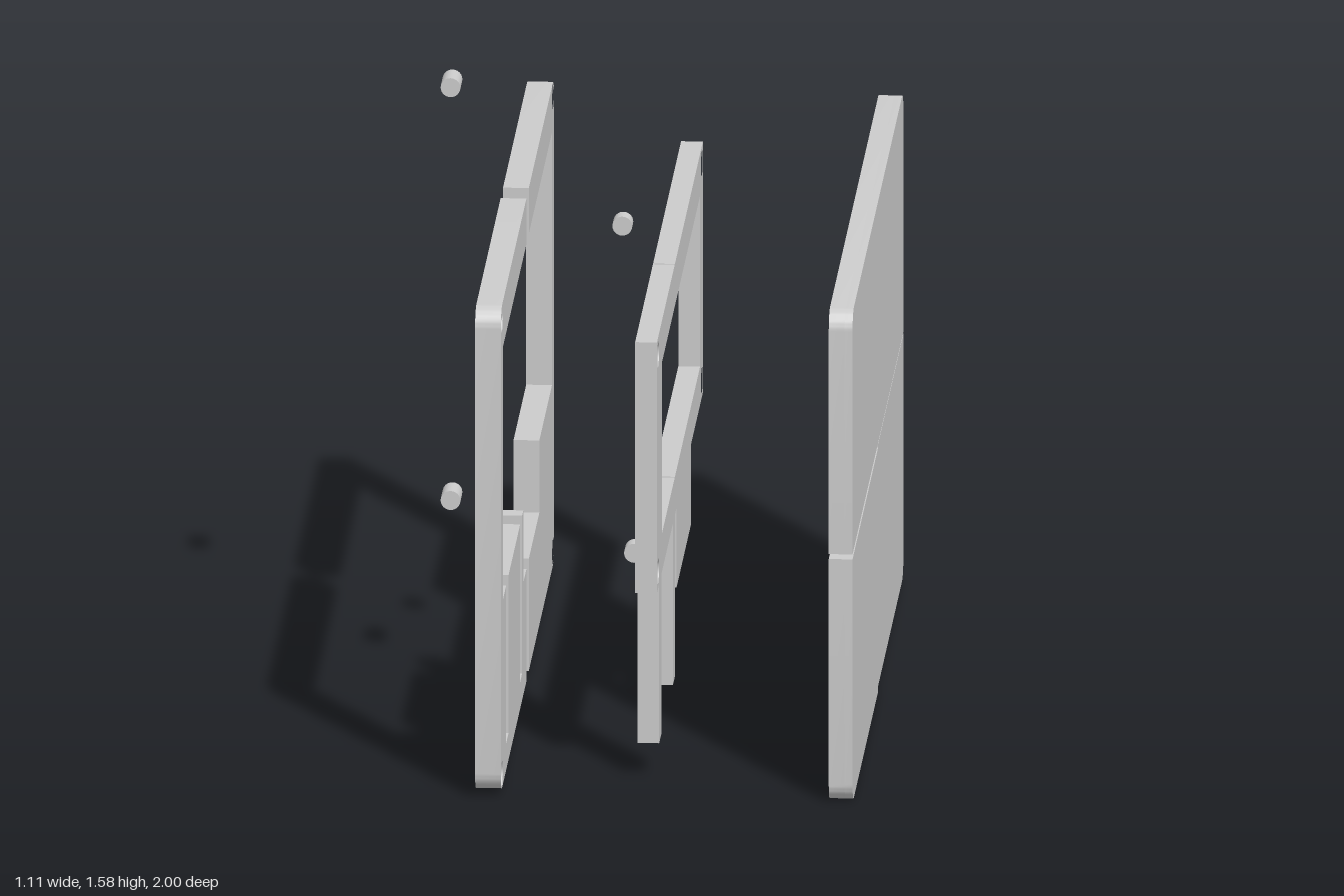
import * as THREE from 'three';
import { toCreasedNormals } from 'three/addons/utils/BufferGeometryUtils.js';

const material = new THREE.MeshStandardMaterial({ color: 0xcccccc });

function addMesh(parent, name, geometry) {
  const mesh = new THREE.Mesh(geometry, material);
  mesh.name = name;
  parent.add(mesh);
  return mesh;
}

// Closed outline from [z, y, cornerRadius] points; u runs along -z
function outline(points) {
  const shape = new THREE.Shape();
  const p = points.map(([z, y]) => new THREE.Vector2(-z, y));
  const n = p.length;
  const toward = (a, b, d) => b.clone().sub(a).setLength(d).add(a);
  p.forEach((c, i) => {
    const r = points[i][2] || 0;
    if (!r) {
      if (i) shape.lineTo(c.x, c.y);
      else shape.moveTo(c.x, c.y);
      return;
    }
    const prev = p[(i + n - 1) % n], next = p[(i + 1) % n];
    const a = toward(c, prev, r), b = toward(c, next, r);
    const h1 = toward(c, prev, r * 0.45), h2 = toward(c, next, r * 0.45);
    if (i) shape.lineTo(a.x, a.y);
    else shape.moveTo(a.x, a.y);
    shape.bezierCurveTo(h1.x, h1.y, h2.x, h2.y, b.x, b.y);
  });
  shape.closePath();
  return shape;
}

function hole(u, v, r) {
  const path = new THREE.Path();
  path.absarc(u, v, r, 0, Math.PI * 2, true);
  return path;
}

// Flat sheet in the z-y plane, from x0 to x1, with round holes [z, y, r]
function sheet(parent, name, points, holes, x0, x1) {
  const shape = outline(points);
  for (const [z, y, r] of holes) shape.holes.push(hole(-z, y, r));
  const geometry = new THREE.ExtrudeGeometry(shape, { depth: x1 - x0, bevelEnabled: false, curveSegments: 12 });
  geometry.rotateY(Math.PI / 2).translate(x0, 0, 0);
  return addMesh(parent, name, toCreasedNormals(geometry, 0.6));
}

// Beam end along z with a dowel socket
function socketBlock(parent, name, x0, x1, y0, y1, z0, z1, socketY) {
  const shape = new THREE.Shape();
  shape.moveTo(x0, y0).lineTo(x1, y0).lineTo(x1, y1).lineTo(x0, y1).closePath();
  shape.holes.push(hole((x0 + x1) / 2, socketY, 0.025));
  const geometry = new THREE.ExtrudeGeometry(shape, { depth: z1 - z0, bevelEnabled: false, curveSegments: 12 });
  geometry.translate(0, 0, z0);
  addMesh(parent, name, toCreasedNormals(geometry, 0.6));
}

export function createModel() {
  const model = new THREE.Group();
  const group = (name) => {
    const g = new THREE.Group();
    g.name = name;
    model.add(g);
    return g;
  };

  // Solid cover: two boards, blind holes on the inner side only
  const cover = group('coverPanel');
  const R = 0.05;
  const upper = [[0.98, 0.655], [-0.93, 0.655], [-0.93, 1.29, R], [0.98, 1.29, R]];
  const lower = [[0.02, 0], [0.98, 0, R], [0.98, 0.642], [0.02, 0.642], [0.02, 0.651],
    [-0.93, 0.651], [-0.93, 0.015, R], [0.02, 0.015]];
  const upperHoles = [[0.94, 1.25, 0.033], [-0.89, 1.25, 0.033], [0.83, 1.125, 0.033], [-0.81, 1.125, 0.033]];
  const lowerHoles = [[0.94, 0.045, 0.033], [-0.89, 0.055, 0.033], [0.83, 0.555, 0.033], [-0.81, 0.555, 0.033]];
  for (const [name, points, holes] of [['upperBoard', upper, upperHoles], ['lowerBoard', lower, lowerHoles]]) {
    sheet(cover, name + 'Inner', points, holes, 0.49, 0.53);
    sheet(cover, name + 'Face', points, [], 0.53, 0.55);
  }

  // Middle frame: long half with a hanging tab, short half with two legs
  const middle = group('middleFrame');
  const [mx0, mx1] = [-0.005, 0.05];
  sheet(middle, 'middleFrameRear', [
    [0.2, 1.17], [-0.85, 1.17], [-0.85, 0.51], [-0.41, 0.51], [-0.41, 0.3], [0.14, 0.3], [0.14, 0.51],
    [0.2, 0.51], [0.2, 0.61], [-0.745, 0.61], [-0.745, 1.06], [0.2, 1.06],
  ], [[-0.81, 1.125, 0.033], [-0.81, 0.555, 0.033]], mx0, mx1);
  sheet(middle, 'middleFrameFront', [
    [0.206, 1.17], [0.875, 1.17], [0.875, 0.51], [0.79, 0.51], [0.79, 0.09], [0.7, 0.09], [0.7, 0.51],
    [0.275, 0.51], [0.275, 0.085], [0.206, 0.085], [0.206, 0.61], [0.69, 0.61], [0.69, 1.06], [0.206, 1.06],
  ], [[0.83, 1.125, 0.033], [0.83, 0.555, 0.033]], mx0, mx1);

  // Outer frame: two halves with a stepped, slotted lower plate
  const outer = group('outerFrame');
  const [ox0, ox1] = [-0.4, -0.335];
  sheet(outer, 'outerFrameRear', [
    [-0.09, 1.285], [-1, 1.285, R], [-1, 0.015, R], [-0.09, 0.015], [-0.09, 0.31], [-0.445, 0.31],
    [-0.445, 0.5], [-0.92, 0.5], [-0.92, 1.165], [-0.09, 1.165],
  ], [[-0.96, 1.25, 0.034], [-0.96, 0.052, 0.034]], ox0, ox1);
  sheet(outer, 'outerFrameFront', [
    [0.08, 1.285], [1, 1.285, R], [1, 0.015, R], [0.08, 0.015], [0.08, 0.31], [0.155, 0.31], [0.155, 0.5],
    [0.2, 0.5], [0.2, 0.085], [0.275, 0.085], [0.275, 0.5], [0.71, 0.5], [0.71, 0.085],
    [0.8, 0.085], [0.8, 0.5], [0.92, 0.5], [0.92, 1.165], [0.08, 1.165],
  ], [[0.96, 1.25, 0.034], [0.96, 0.052, 0.034]], ox0, ox1);
  for (const [side, z0, z1] of [['Rear', -0.09, -0.05], ['Front', 0.04, 0.08]]) {
    socketBlock(outer, 'topSocket' + side, ox0, ox1, 1.165, 1.285, z0, z1, 1.222);
    socketBlock(outer, 'bottomSocket' + side, ox0, ox1, 0.015, 0.31, z0, z1, 0.137);
  }

  // Loose dowels lying along z: x, y, z, length
  const dowels = group('dowels');
  for (const [x, y, z, length] of [
    [-0.53, 1.556, -0.052, 0.075], [-0.53, 0.47, -0.052, 0.075],
    [-0.078, 1.288, 0.248, 0.042], [-0.046, 0.44, 0.287, 0.042],
  ]) {
    const geometry = new THREE.CylinderGeometry(0.025, 0.025, length, 24).rotateX(Math.PI / 2);
    addMesh(dowels, 'dowel', geometry).position.set(x, y, z);
  }

  return model;
}
